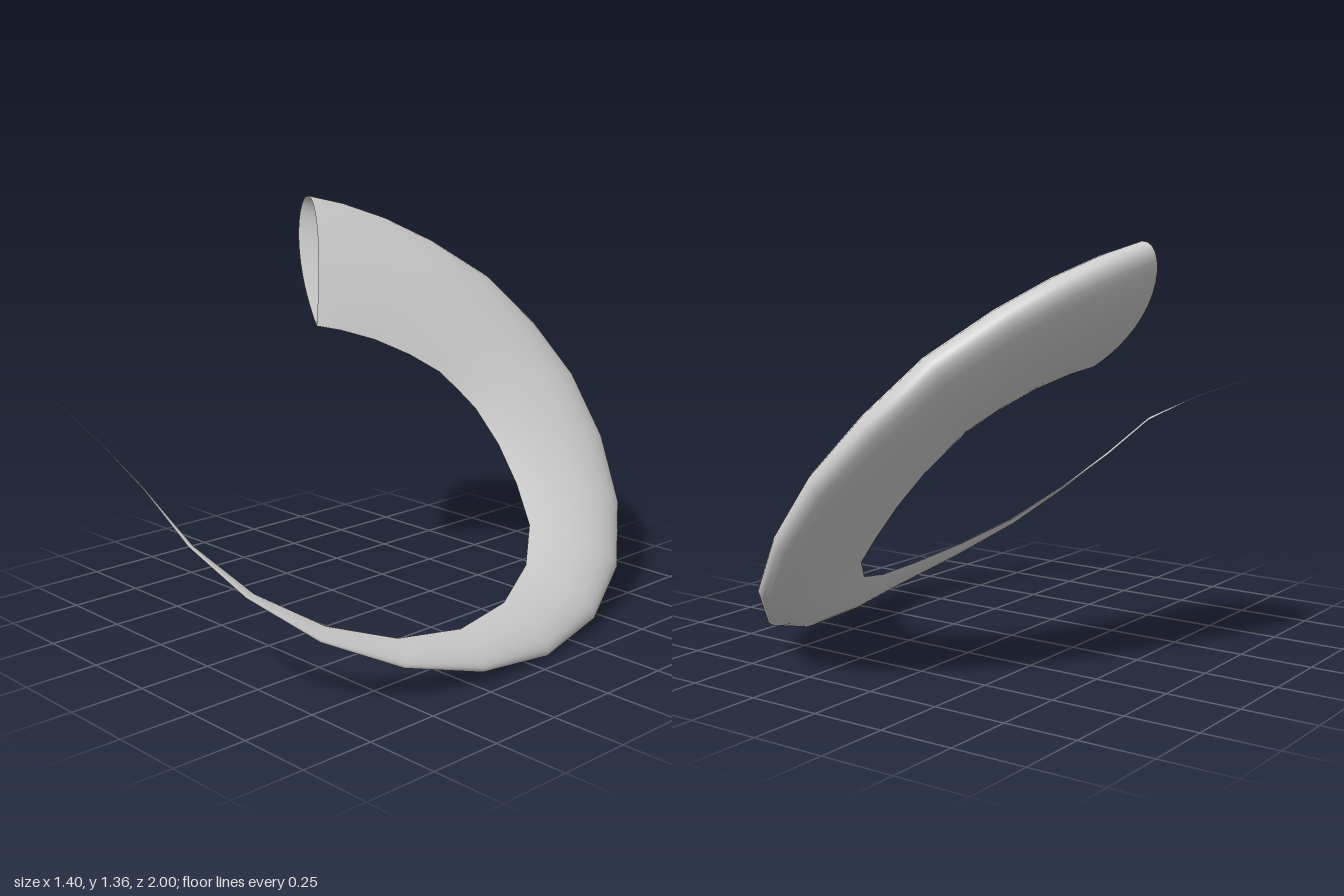
import * as THREE from 'three';

// Rails of the horn from the open mouth to the tip: x, y, z per station
const OUTER = [
  [-0.69, 1.36, -0.27], [-0.645, 1.325, -0.4], [-0.575, 1.265, -0.55], [-0.47, 1.175, -0.7],
  [-0.33, 1.04, -0.86], [-0.175, 0.865, -0.965], [0, 0.68, -1], [0.18, 0.475, -0.965],
  [0.355, 0.28, -0.855], [0.51, 0.125, -0.66], [0.625, 0.04, -0.4], [0.69, 0.015, -0.085],
  [0.695, 0.05, 0.22], [0.622, 0.118, 0.49], [0.497, 0.224, 0.71], [0.35, 0.36, 0.865],
  [0.2, 0.503, 0.957], [0.04, 0.65, 0.995], [-0.17, 0.75, 1], [-0.42, 0.84, 1],
];
const INNER = [
  [-0.33, 0.96, -0.01], [-0.29, 0.94, -0.09], [-0.235, 0.9, -0.2], [-0.17, 0.84, -0.31],
  [-0.105, 0.775, -0.395], [-0.055, 0.71, -0.44], [0, 0.645, -0.475], [0.1, 0.53, -0.488],
  [0.21, 0.41, -0.465], [0.33, 0.3, -0.4], [0.43, 0.21, -0.27], [0.53, 0.16, -0.05],
  [0.575, 0.15, 0.2], [0.55, 0.18, 0.45], [0.46, 0.25, 0.66], [0.34, 0.362, 0.83],
  [0.192, 0.495, 0.932], [0.038, 0.64, 0.985], [-0.17, 0.748, 0.996], [-0.42, 0.84, 0.999],
];
const SIDES = 32;
const THICKNESS = 0.18;

function hornGeometry() {
  const outer = OUTER.map(p => new THREE.Vector3(...p));
  const inner = INNER.map(p => new THREE.Vector3(...p));
  const mid = outer.map((p, i) => p.clone().lerp(inner[i], 0.5));
  const last = mid.length - 1;
  const positions = [], indices = [];

  for (let i = 0; i <= last; i++) {
    const chord = outer[i].clone().sub(inner[i]);
    const tangent = mid[Math.min(i + 1, last)].clone().sub(mid[Math.max(i - 1, 0)]);
    const side = chord.clone().cross(tangent).normalize();
    // Teardrop section: pointed on the inner rail, round on the outer one
    for (let j = 0; j <= SIDES; j++) {
      const a = (j / SIDES) * Math.PI * 2;
      const half = THICKNESS * chord.length() * Math.sin(a) * Math.sin(a / 2);
      const p = inner[i].clone()
        .addScaledVector(chord, (1 - Math.cos(a)) / 2)
        .addScaledVector(side, half);
      positions.push(p.x, p.y, p.z);
      if (i < last && j < SIDES) {
        const k = i * (SIDES + 1) + j, n = k + SIDES + 1;
        indices.push(k, k + 1, n, k + 1, n + 1, n);
      }
    }
  }
  const geometry = new THREE.BufferGeometry();
  geometry.setAttribute('position', new THREE.Float32BufferAttribute(positions, 3));
  geometry.setIndex(indices);
  geometry.computeVertexNormals(); // the split seam keeps the inner edge sharp
  return geometry;
}

export function createModel() {
  const group = new THREE.Group();
  group.name = 'curvedHorn';
  // Hollow shell, open at the mouth
  const horn = new THREE.Mesh(
    hornGeometry(),
    new THREE.MeshStandardMaterial({ color: 0xcccccc, side: THREE.DoubleSide }),
  );
  horn.name = 'hornShell';
  group.add(horn);
  return group;
}
